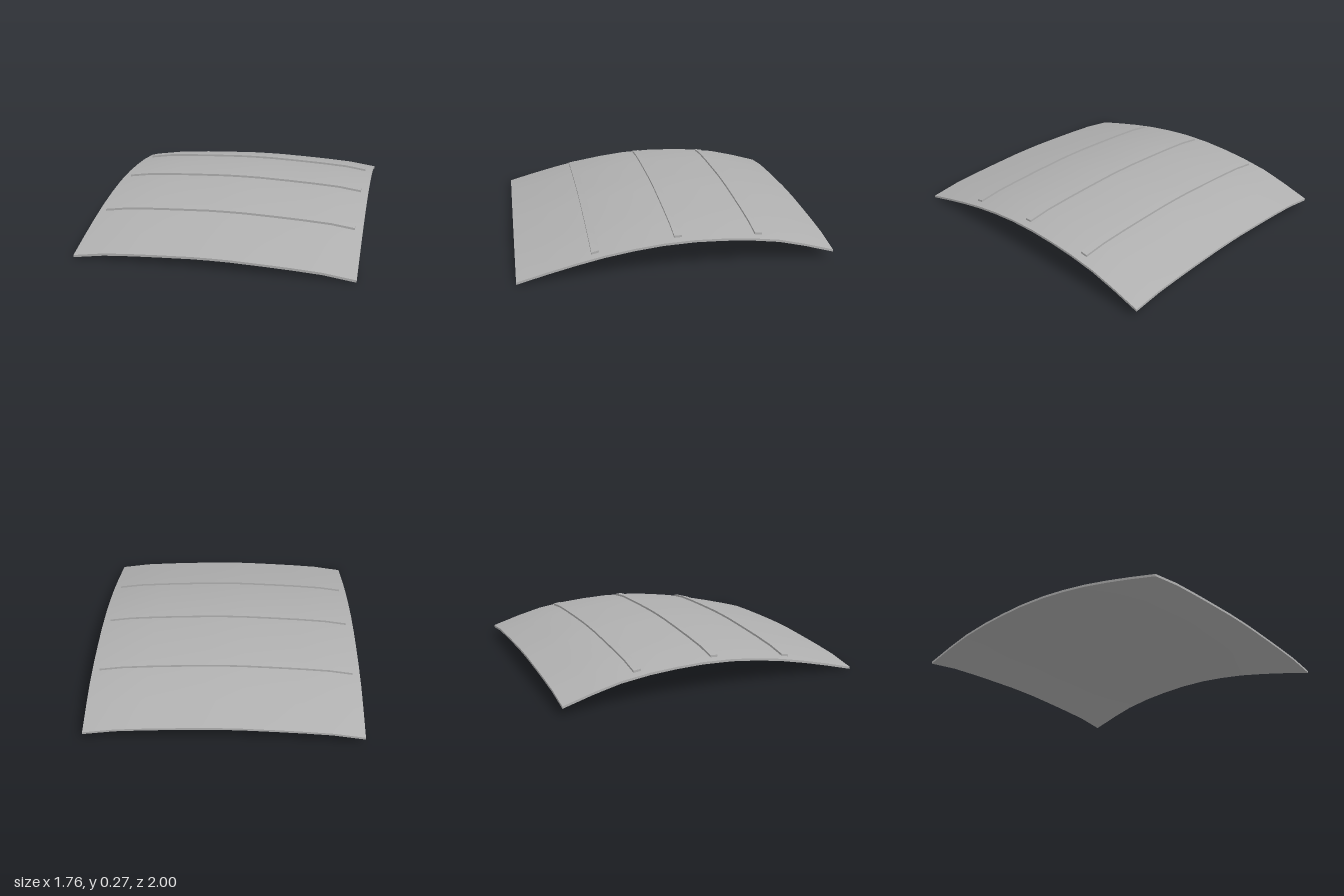
import * as THREE from 'three';

// Crown of the panel along z, and how far it drops towards the sides
const LENGTH = [[-1, 0.121], [-0.81, 0.177], [-0.64, 0.219], [-0.45, 0.245], [-0.28, 0.257], [-0.1, 0.262],
  [0.1, 0.254], [0.28, 0.234], [0.46, 0.205], [0.64, 0.166], [0.81, 0.124], [1, 0.073]];
const DROP = [[0, 0], [0.12, 0.001], [0.33, 0.009], [0.5, 0.017], [0.68, 0.029], [0.88, 0.058]];

function interpolate(table, v) {
  let i = 1;
  while (i < table.length - 1 && v > table[i][0]) i++;
  const [a, ya] = table[i - 1], [b, yb] = table[i];
  return ya + (yb - ya) * (v - a) / (b - a);
}

const surface = (x, z) => interpolate(LENGTH, z) - interpolate(DROP, Math.abs(x));

// Bend a subdivided box over the surface, from offset low to offset high
function bentSlab(xs, zs, low, high) {
  const nx = xs.length - 1, nz = zs.length - 1;
  const geometry = new THREE.BoxGeometry(nx, 1, nz, nx, 1, nz);
  const p = geometry.attributes.position;
  for (let i = 0; i < p.count; i++) {
    const x = xs[Math.round(p.getX(i) + nx / 2)];
    const z = zs[Math.round(p.getZ(i) + nz / 2)];
    p.setXYZ(i, x, surface(x, z) + (p.getY(i) > 0 ? high : low), z);
  }
  geometry.computeVertexNormals();
  return geometry;
}

// Mirrored stations across the width, ending at the given half width
function stations(halfWidth) {
  const half = DROP.map(([x]) => x).filter((x) => x > 0 && x < halfWidth).concat(halfWidth);
  return [...half.map((x) => -x).reverse(), 0, ...half];
}

export function createModel() {
  const group = new THREE.Group();
  group.name = 'curvedRoofPanel';
  const grey = new THREE.MeshStandardMaterial({ color: 0xb0b0b0 });
  grey.name = 'panelGrey';

  const add = (name, geometry) => {
    const mesh = new THREE.Mesh(geometry, grey);
    mesh.name = name;
    group.add(mesh);
  };

  // Thin double-curved sheet
  add('panel', bentSlab(stations(0.88), LENGTH.map(([z]) => z), -0.015, 0));

  // Three raised ribs across the width
  const ribs = { backRib: -0.515, middleRib: 0, frontRib: 0.515 };
  for (const [name, z] of Object.entries(ribs)) {
    add(name, bentSlab(stations(0.83), [z - 0.024, z + 0.024], -0.004, 0.014));
  }
  return group;
}
